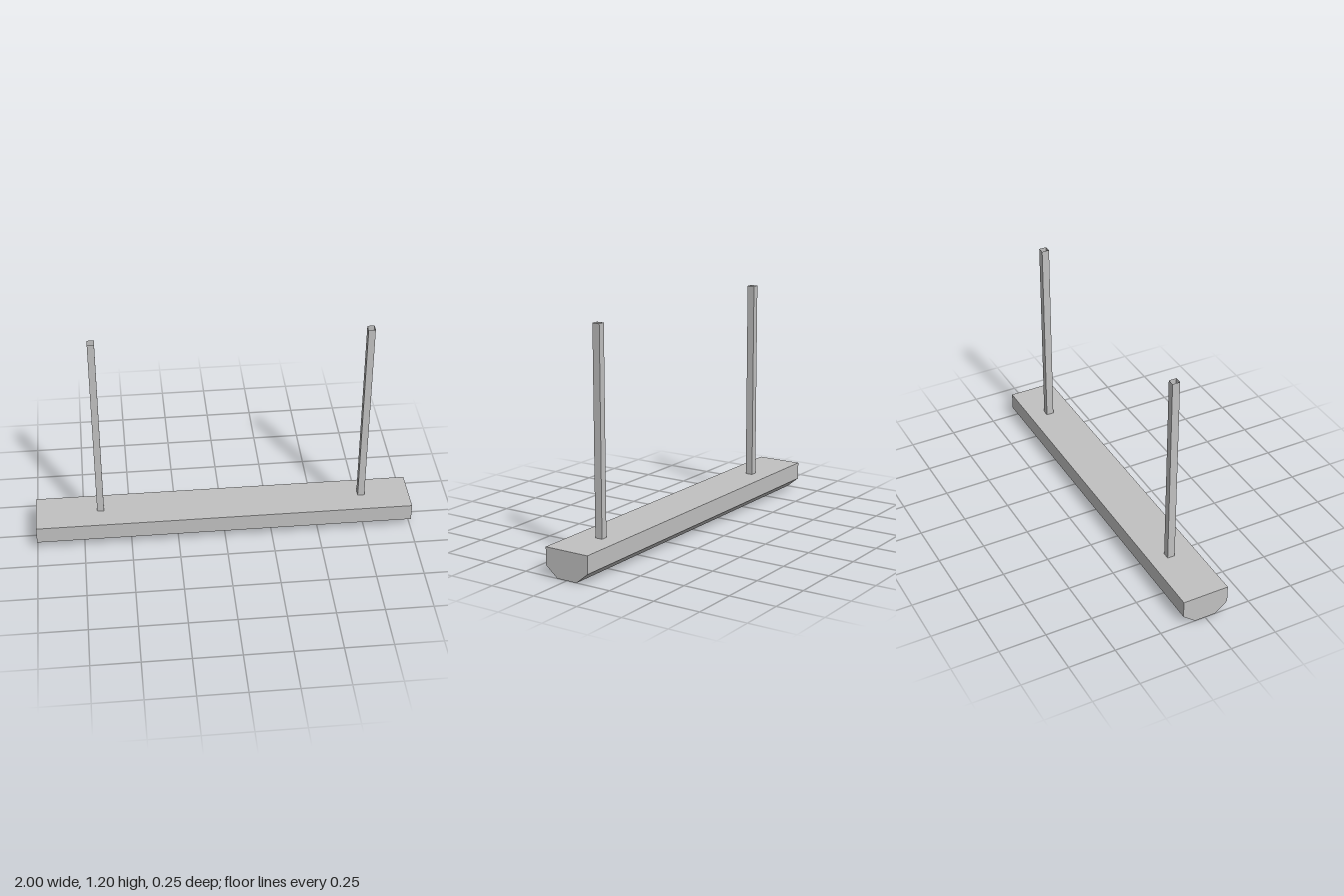
import * as THREE from 'three';

export function createModel() {
  const model = new THREE.Group();
  const grey = new THREE.MeshStandardMaterial({ color: 0xc0c0c0, side: THREE.DoubleSide });
  grey.name = 'light grey';

  // Long housing: a chamfered cross-section extruded along x
  const length = 2, top = 0.147;
  const section = new THREE.Shape([
    [-0.057, 0], [0.057, 0], [0.124, 0.055], [0.124, top], [-0.124, top], [-0.124, 0.055],
  ].map(([z, y]) => new THREE.Vector2(z, y)));
  const housingGeometry = new THREE.ExtrudeGeometry(section, { depth: length, bevelEnabled: false });
  housingGeometry.translate(0, 0, -length / 2).rotateY(Math.PI / 2);
  const housing = new THREE.Mesh(housingGeometry, grey);
  housing.name = 'housing';
  model.add(housing);

  // Two square hanger posts, hollow and open at the ends
  const width = 0.036, depth = 0.04, height = 1.203 - top;
  const postGeometry = new THREE.CylinderGeometry(Math.SQRT1_2, Math.SQRT1_2, height, 4, 1, true)
    .rotateY(Math.PI / 4).scale(width, 1, depth).toNonIndexed();
  postGeometry.computeVertexNormals();
  for (const [name, x] of [['rightPost', -0.657], ['leftPost', 0.743]]) {
    const post = new THREE.Mesh(postGeometry, grey);
    post.name = name;
    post.position.set(x, top + height / 2, -0.012);
    model.add(post);
  }
  return model;
}
